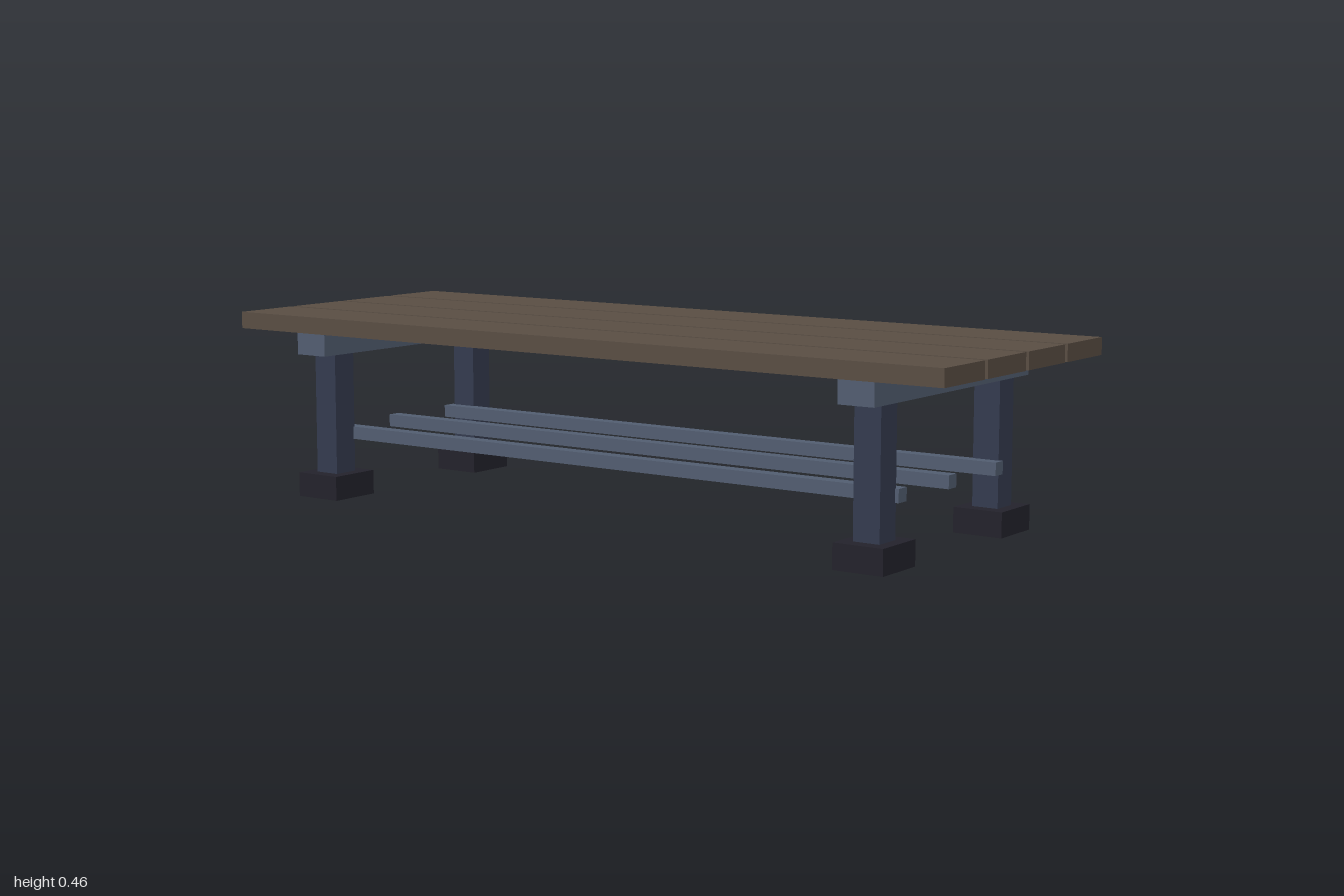
import * as THREE from 'three';

const material = (name, color) => {
  const m = new THREE.MeshStandardMaterial({ color });
  m.name = name;
  return m;
};

export function createModel() {
  const wood = material('brown wood', 0x594d43);
  const steel = material('blue grey steel', 0x525d70);
  const darkSteel = material('dark blue steel', 0x343b4e);
  const rubber = material('black rubber', 0x23222b);

  const table = new THREE.Group();
  table.name = 'slattedTable';

  // Box with its underside at y
  const box = (name, mat, [w, h, d], [x, y, z]) => {
    const mesh = new THREE.Mesh(new THREE.BoxGeometry(w, h, d), mat);
    mesh.name = name;
    mesh.position.set(x, y + h / 2, z);
    table.add(mesh);
  };

  // Four planks with narrow gaps
  for (let i = 0; i < 4; i++) {
    box('plank', wood, [2, 0.041, 0.172], [0, 0.415, (i - 1.5) * 0.185]);
  }

  // Trestle at each end: crossbeam, two legs, two feet
  for (const x of [-0.781, 0.781]) {
    box('crossbeam', steel, [0.09, 0.059, 0.692], [x, 0.359, 0]);
    for (const z of [-0.264, 0.264]) {
      box('leg', darkSteel, [0.066, 0.305, 0.066], [x, 0.057, z]);
      box('foot', rubber, [0.125, 0.06, 0.136], [x, 0, z]);
    }
  }

  // Long stretcher rails, running just past the legs
  for (const z of [-0.218, 0, 0.218]) {
    box('stretcher', steel, [1.646, 0.031, 0.034], [0, 0.141, z]);
  }

  return table;
}
